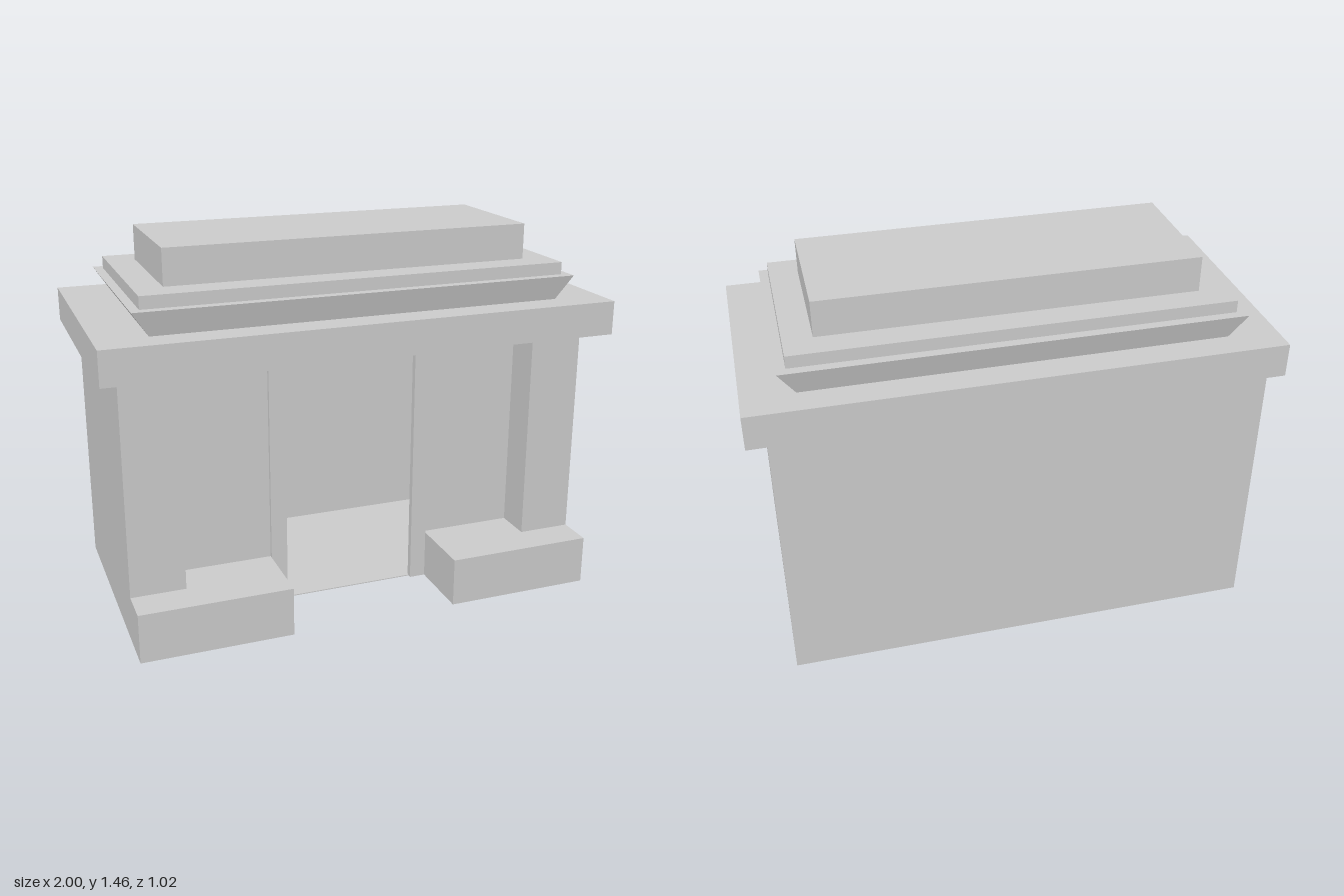
import * as THREE from 'three';

export function createModel() {
  const group = new THREE.Group();
  const material = new THREE.MeshStandardMaterial({ color: 0xcccccc, flatShading: true });

  const add = (name, geometry) => {
    const mesh = new THREE.Mesh(geometry, material);
    mesh.name = name;
    group.add(mesh);
    return mesh;
  };
  // Box given by its limits on each axis
  const block = (name, x0, x1, y0, y1, z0, z1) => {
    const geometry = new THREE.BoxGeometry(x1 - x0, y1 - y0, z1 - z0);
    geometry.translate((x0 + x1) / 2, (y0 + y1) / 2, (z0 + z1) / 2);
    return add(name, geometry);
  };
  // The same box on both sides of the entrance
  const pair = (name, x0, x1, ...rest) => {
    block(name + 'Left', x0, x1, ...rest);
    block(name + 'Right', -x1, -x0, ...rest);
  };

  const back = -0.51, wallFront = 0.22, eaves = 1.05, half = 0.925, skin = 0.01;

  // Hollow chamber behind the doorway
  block('floor', -half + skin, half - skin, 0, 0.004, back + skin, wallFront);
  block('backWall', -half, half, 0, eaves, back, back + skin);
  pair('sideWall', half - skin, half, 0, eaves, back + skin, wallFront);
  pair('frontWall', 0.33, half - skin, 0, eaves, wallFront - skin, wallFront);

  // Corner pillars standing on the plinths that flank the entrance
  pair('plinth', 0.335, half, 0, 0.195, wallFront, 0.51);
  pair('cornerPillar', 0.713, half, 0.195, eaves, wallFront, 0.37);

  // Door frame, one outline around the opening
  const frame = new THREE.Shape([
    [-0.335, 0], [-0.27, 0], [-0.27, 1.005], [0.27, 1.005],
    [0.27, 0], [0.335, 0], [0.335, eaves], [-0.335, eaves],
  ].map(([x, y]) => new THREE.Vector2(x, y)));
  const frameGeometry = new THREE.ExtrudeGeometry(frame, { depth: 0.025, bevelEnabled: false });
  add('doorFrame', frameGeometry.translate(0, 0, 0.21));

  // Roof: overhanging slab, flared moulding, step and cap
  block('roofSlab', -1, 1, eaves, 1.183, back, 0.48);
  const moulding = block('flaredMoulding', -0.865, 0.865, 1.183, 1.277, -0.423, 0.392);
  const p = moulding.geometry.attributes.position;
  for (let i = 0; i < p.count; i++) {
    if (p.getY(i) > 1.2) continue;
    p.setX(i, Math.sign(p.getX(i)) * 0.803);
    p.setZ(i, p.getZ(i) > 0 ? 0.367 : -0.396);
  }
  moulding.geometry.computeVertexNormals();
  block('roofStep', -0.83, 0.83, 1.277, 1.325, -0.386, 0.355);
  block('roofCap', -0.72, 0.72, 1.325, 1.464, -0.277, 0.242);

  return group;
}
